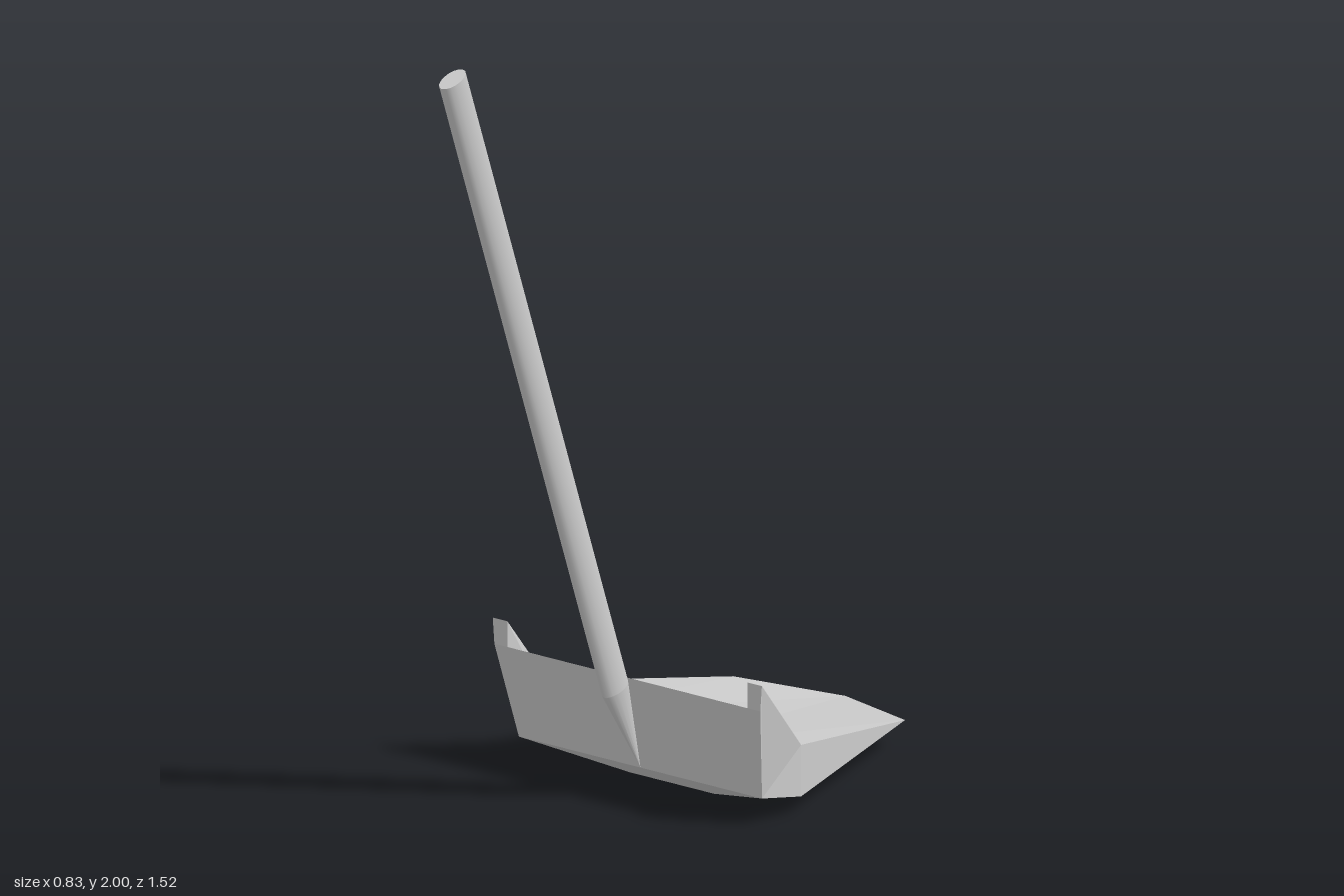
import * as THREE from 'three';

const material = new THREE.MeshStandardMaterial({ color: 0xcccccc });
const flatMaterial = new THREE.MeshStandardMaterial({ color: 0xcccccc, flatShading: true });

// Faceted solid from named corners of its +x half, mirrored to -x
function mirroredFacets(points, faces) {
  const position = [];
  for (const side of [1, -1]) {
    for (const face of faces) {
      const loop = face.split(' ').map((key) => points[key]);
      if (side < 0) loop.reverse();
      for (let i = 1; i < loop.length - 1; i++) {
        for (const [x, y, z] of [loop[0], loop[i], loop[i + 1]]) position.push(x * side, y, z);
      }
    }
  }
  const geometry = new THREE.BufferGeometry();
  geometry.setAttribute('position', new THREE.Float32BufferAttribute(position, 3));
  geometry.computeVertexNormals();
  return geometry;
}

function createBlade() {
  const points = {
    heel: [0.375, 0.07, 0.02], heelMid: [0, 0.07, 0.02],
    rim: [0.37, 0.31, 0.07], rimMid: [0, 0.31, 0.07],
    earIn: [0.37, 0.375, 0.07], earOut: [0.415, 0.375, 0.07], earBase: [0.41, 0.31, 0.07],
    crease: [0.363, 0.1, -0.1], creaseMid: [0, 0.1, -0.07],
    wall: [0.39, 0.175, -0.11], side: [0.39, 0.045, -0.11],
    belly: [0.13, 0, -0.1], bellyMid: [0, 0, -0.1],
    corner: [0.265, 0.07, -0.66], tip: [0, 0.05, -0.76],
  };
  const faces = [
    // heel plate and ear, front side
    'heelMid heel rim rimMid', 'heel earBase rim', 'earBase earOut earIn rim',
    // inside: back slope, floor, side wall, ear
    'rimMid rim crease creaseMid', 'creaseMid crease corner tip',
    'crease wall corner', 'wall crease rim earIn', 'earIn earOut wall',
    // outer side
    'heel side wall earOut earBase', 'side corner wall',
    // underside
    'heel heelMid bellyMid belly', 'heel belly side',
    'bellyMid tip belly', 'belly tip corner', 'belly corner side',
  ];
  const mesh = new THREE.Mesh(mirroredFacets(points, faces), flatMaterial);
  mesh.name = 'blade';
  return mesh;
}

// Oval rod between two centres; bottomScale 0 brings it to a point
function ovalRod(name, bottom, top, bottomScale, openTop) {
  const geometry = new THREE.CylinderGeometry(1, bottomScale, 1, 16, 1, openTop);
  const position = geometry.attributes.position;
  const p = new THREE.Vector3();
  const centre = new THREE.Vector3();
  for (let i = 0; i < position.count; i++) {
    p.fromBufferAttribute(position, i);
    centre.lerpVectors(bottom, top, p.y + 0.5);
    // section leans with the rod
    position.setXYZ(i, centre.x + p.x * 0.026, centre.y - p.z * 0.0145, centre.z + p.z * 0.04);
  }
  geometry.computeVertexNormals();
  const mesh = new THREE.Mesh(geometry, material);
  mesh.name = name;
  return mesh;
}

export function createModel() {
  const model = new THREE.Group();
  model.name = 'shovel';
  const joint = new THREE.Vector3(-0.002, 0.295, 0.115);
  model.add(
    createBlade(),
    ovalRod('handle', joint, new THREE.Vector3(-0.013, 1.985, 0.72), 1, false),
    ovalRod('handleSocket', new THREE.Vector3(0, 0.07, 0.02), joint, 0, true),
  );
  return model;
}
